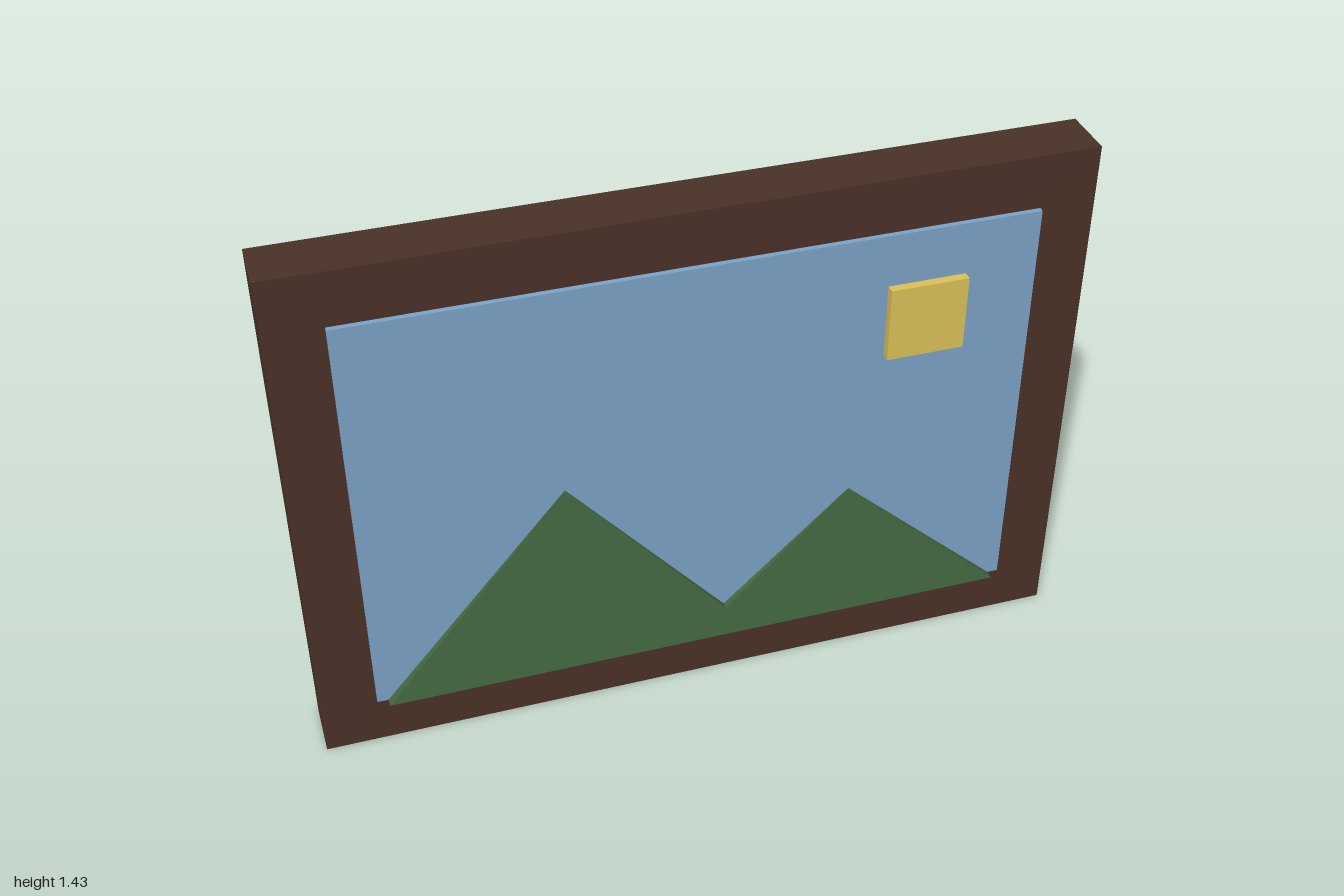
import * as THREE from 'three';

const material = (name, color) => {
  const m = new THREE.MeshStandardMaterial({ color });
  m.name = name;
  return m;
};

export function createModel() {
  const wood = material('dark wood', 0x4a3227);
  const blue = material('sky blue', 0x7ba2c7);
  const green = material('mountain green', 0x436942);
  const yellow = material('sun yellow', 0xdac058);

  const group = new THREE.Group();
  group.name = 'framedLandscape';

  const add = (name, geometry, mat, x, y, z) => {
    const mesh = new THREE.Mesh(geometry, mat);
    mesh.name = name;
    mesh.position.set(x, y, z);
    group.add(mesh);
  };

  // Box given by its front plane, so each layer stacks on the one behind
  const slab = (name, mat, w, h, d, x, y, front) =>
    add(name, new THREE.BoxGeometry(w, h, d), mat, x, y, front - d / 2);

  slab('frame', wood, 2, 1.429, 0.143, 0, 0.7145, 0.053);
  slab('sky', blue, 1.714, 1.143, 0.028, 0, 0.7145, 0.067);
  slab('sun', yellow, 0.2, 0.2, 0.03, 0.571, 1.045, 0.09);

  // Mountains: shallow four-sided pyramids half sunk into the sky panel
  const mountain = (name, x, width, height) => {
    const geometry = new THREE.ConeGeometry(Math.SQRT1_2, 1, 4)
      .rotateY(Math.PI / 4)
      .scale(width, height, 0.044)
      .toNonIndexed();
    geometry.computeVertexNormals();
    add(name, geometry, green, x, 0.143 + height / 2, 0.068);
  };
  mountain('tallMountain', -0.343, 0.972, 0.571);
  mountain('smallMountain', 0.4, 0.858, 0.4);

  return group;
}
